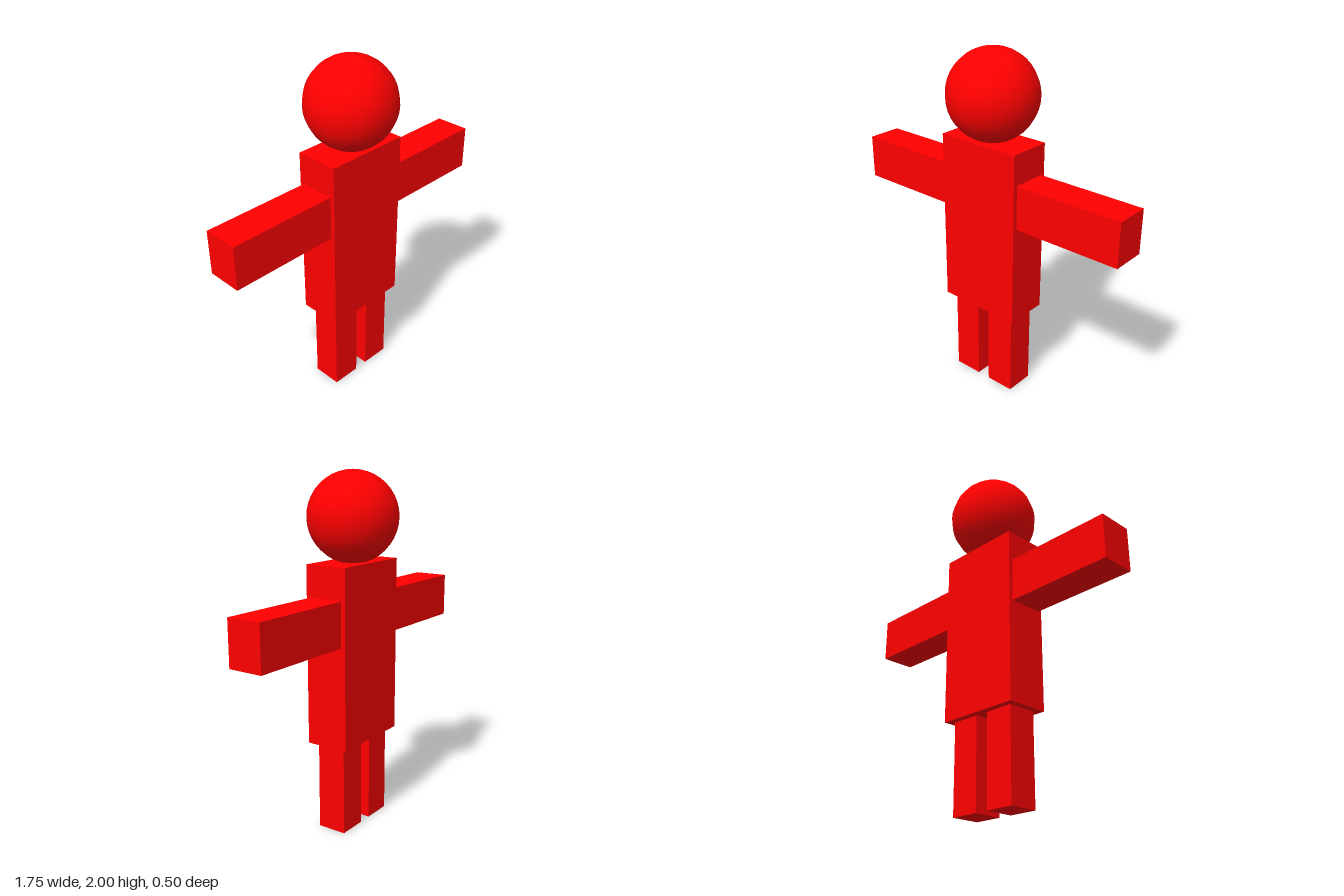
import * as THREE from 'three';

export function createModel() {
  const model = new THREE.Group();
  model.name = 'figure';
  const red = new THREE.MeshStandardMaterial({ color: 0xff0000 });

  const add = (name, geometry, x, y) => {
    const mesh = new THREE.Mesh(geometry, red);
    mesh.name = name;
    mesh.position.set(x, y, 0);
    model.add(mesh);
  };

  // Round head resting on the torso
  add('head', new THREE.SphereGeometry(0.25, 20, 20), 0, 1.75);

  // Slab torso
  add('torso', new THREE.BoxGeometry(0.5, 1, 0.25), 0, 1.013);

  // Outstretched arms and straight legs, mirrored
  for (const [side, s] of [['left', 1], ['right', -1]]) {
    add(side + 'Arm', new THREE.BoxGeometry(0.625, 0.25, 0.2), s * 0.5625, 1.213);
    add(side + 'Leg', new THREE.BoxGeometry(0.17, 0.513, 0.17), s * 0.125, 0.2565);
  }

  return model;
}
